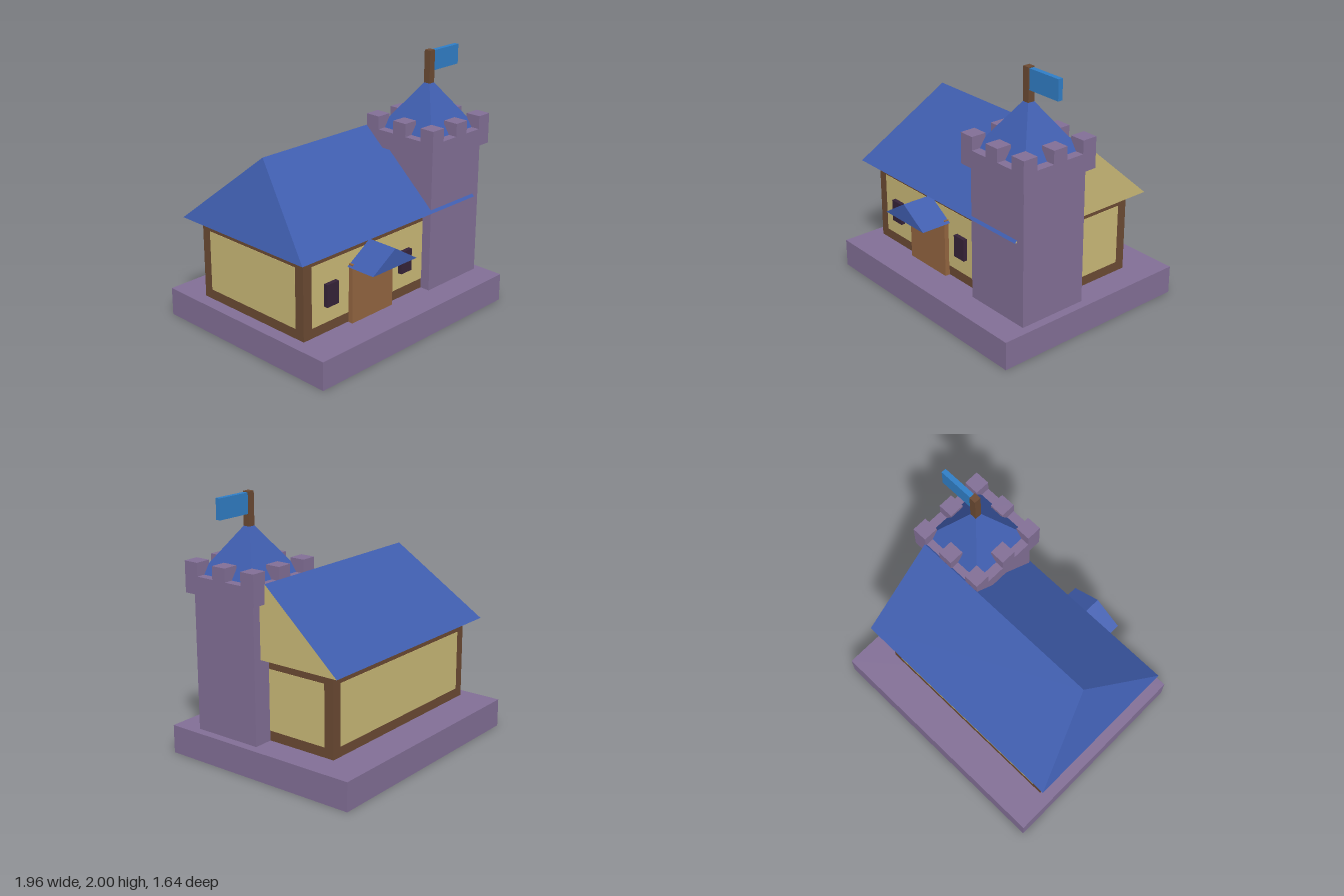
import * as THREE from 'three';

const material = (name, color, side = THREE.FrontSide) => {
  const m = new THREE.MeshStandardMaterial({ color, side });
  m.name = name;
  return m;
};

// Flat-shaded surface from polygons, each a counter-clockwise list of points
function polygons(faces) {
  const pos = [];
  for (const f of faces)
    for (let i = 1; i < f.length - 1; i++) pos.push(...f[0], ...f[i], ...f[i + 1]);
  const g = new THREE.BufferGeometry();
  g.setAttribute('position', new THREE.Float32BufferAttribute(pos, 3));
  g.computeVertexNormals();
  return g;
}

export function createModel() {
  const root = new THREE.Group();
  root.name = 'cottageWithTower';

  const stone = material('stone', 0x826f96, THREE.DoubleSide);
  const slate = material('blueRoof', 0x3f5dae);
  const plaster = material('plaster', 0xcab977);
  const timber = material('timber', 0x6b4a33);
  const doorWood = material('doorWood', 0x936540);
  const glass = material('darkGlass', 0x362338);
  const cloth = material('flagCloth', 0x307ec6);

  const add = (name, geo, mat, parent = root) => {
    const mesh = new THREE.Mesh(geo, mat);
    mesh.name = name;
    parent.add(mesh);
    return mesh;
  };
  // Box given by its extents on each axis
  const box = (name, mat, [x0, x1], [y0, y1], [z0, z1], parent) => {
    const mesh = add(name, new THREE.BoxGeometry(x1 - x0, y1 - y0, z1 - z0), mat, parent);
    mesh.position.set((x0 + x1) / 2, (y0 + y1) / 2, (z0 + z1) / 2);
    return mesh;
  };
  const group = (name) => {
    const g = new THREE.Group();
    g.name = name;
    root.add(g);
    return g;
  };

  // Base slab, hollow and open underneath
  const base = box('base', stone, [-0.98, 0.98], [0, 0.22], [-0.82, 0.82]);
  const idx = Array.from(base.geometry.index.array);
  base.geometry.setIndex([...idx.slice(0, 18), ...idx.slice(24)]);
  base.geometry.clearGroups();

  // House: timber body with thin plaster panels on all four sides
  const house = group('house');
  const X0 = -0.88, X1 = 0.76, Z = 0.53, post = 0.08, t = 0.003;
  const panelY = [0.3, 0.77];
  box('timberFrame', timber, [X0, X1], [0.222, 0.862], [-Z, Z], house);
  for (const s of [-1, 1])
    box(s > 0 ? 'frontPanel' : 'backPanel', plaster, [X0 + post, X1 - post], panelY,
      [s * Z - t, s * Z + t], house);
  for (const x of [X0, X1])
    box(x > 0 ? 'leftPanel' : 'rightPanel', plaster, [x - t, x + t], panelY,
      [-Z + post, Z - post], house);

  // Windows
  for (const x of [-0.625, 0.15])
    box('window', glass, [x - 0.057, x + 0.057], [0.43, 0.605], [0.5, 0.565], house);

  // Door and its gabled canopy
  box('door', doorWood, [-0.435, -0.01], [0.215, 0.68], [0.53, 0.57], house);
  const tri = new THREE.Shape([
    new THREE.Vector2(-0.45, 0.66), new THREE.Vector2(0.01, 0.66), new THREE.Vector2(-0.22, 0.805),
  ]);
  add('doorCanopy', new THREE.ExtrudeGeometry(tri, { depth: 0.26, bevelEnabled: false }), slate, house)
    .position.z = 0.52;

  // Main roof: hipped at one end, plastered gable at the other
  const A = [-0.98, 0.86, 0.63], B = [0.85, 0.86, 0.63];
  const C = [0.85, 0.86, -0.63], D = [-0.98, 0.86, -0.63];
  const R0 = [-0.75, 1.42, 0], R1 = [0.85, 1.42, 0];
  add('mainRoof', polygons([[A, B, R1, R0], [C, D, R0, R1], [D, A, R0], [A, D, C, B]]), slate, house);
  add('gable', polygons([[B, C, R1]]), plaster, house);

  // Tower with overhanging crown
  const tower = group('tower');
  const cx = 0.635, cz = 0.327;
  box('towerShaft', stone, [0.36, 0.915], [0.222, 1.28], [0.05, 0.61], tower);
  box('crown', stone, [cx - 0.326, cx + 0.326], [1.275, 1.41], [cz - 0.326, cz + 0.326], tower);

  // Merlons around the crown edge
  const m = 0.06, off = 0.326 - m;
  for (const i of [-1, 0, 1])
    for (const j of [-1, 0, 1]) {
      if (i === 0 && j === 0) continue;
      const x = cx + i * off, z = cz + j * off;
      box('merlon', stone, [x - m, x + m], [1.405, 1.51], [z - m, z + m], tower);
    }

  // Tower roof, pole and flag
  const spire = new THREE.CylinderGeometry(0.027 * Math.SQRT2, 0.256 * Math.SQRT2, 0.34, 4)
    .rotateY(Math.PI / 4).toNonIndexed();
  spire.computeVertexNormals();
  add('towerRoof', spire, slate, tower).position.set(cx, 1.58, cz);
  box('flagPole', timber, [cx - 0.027, cx + 0.027], [1.7, 2], [cz - 0.027, cz + 0.027], tower);
  box('flag', cloth, [cx + 0.025, 0.945], [1.84, 1.993], [cz - 0.019, cz + 0.019], tower);

  return root;
}
